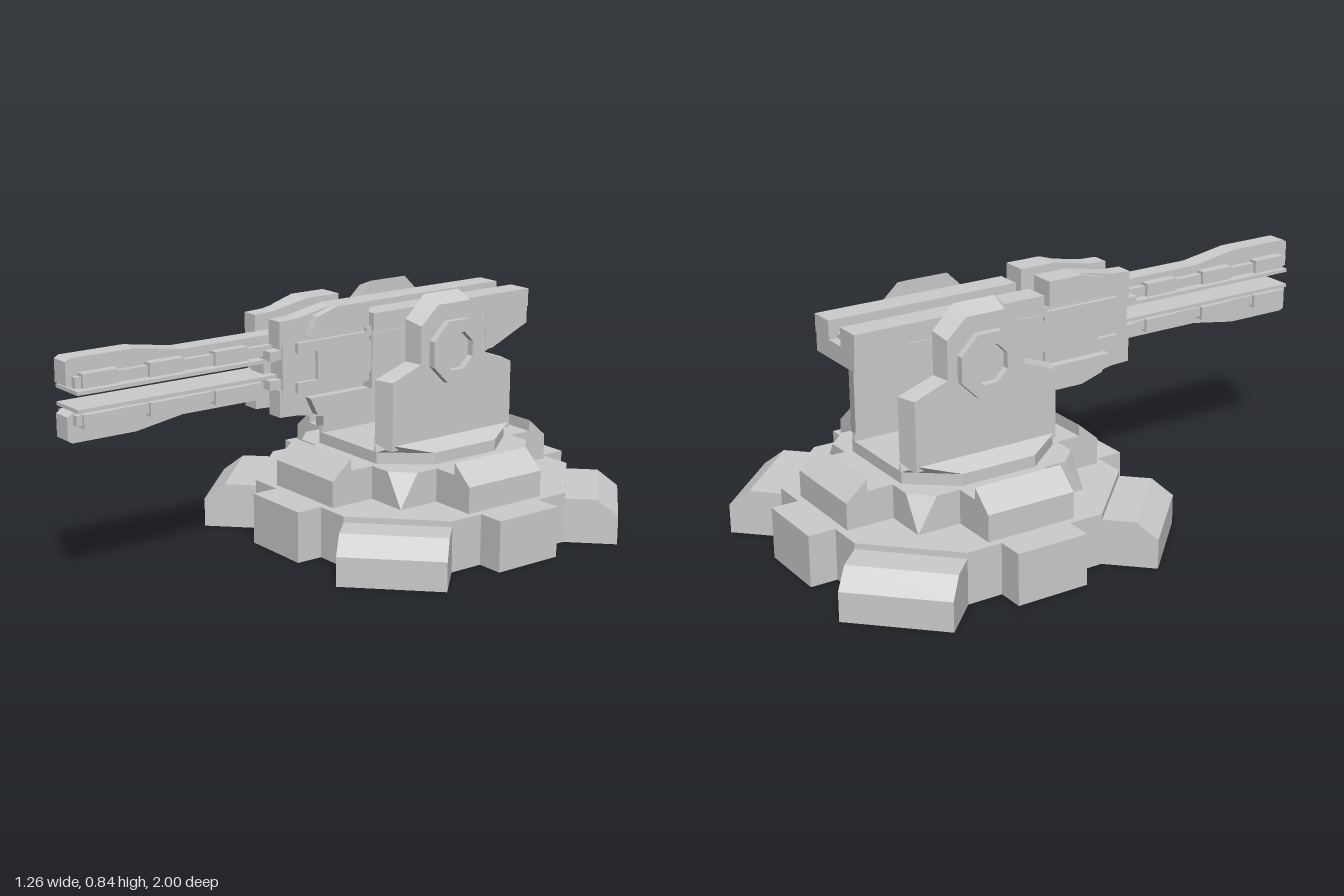
import * as THREE from 'three';
import { ConvexGeometry } from 'three/addons/geometries/ConvexGeometry.js';

const AXIS_Y = 0.652; // height of the gun's axis, its mirror plane
const GUN_X = -0.01;
const PIVOT_Z = -0.375;

const material = new THREE.MeshStandardMaterial({ color: 0xcccccc, flatShading: true, side: THREE.DoubleSide });

function add(parent, name, geometry) {
  const mesh = new THREE.Mesh(geometry, material);
  mesh.name = name;
  parent.add(mesh);
  return mesh;
}

function group(parent, name, x = 0, y = 0, z = 0) {
  const g = new THREE.Group();
  g.name = name;
  g.position.set(x, y, z);
  if (parent) parent.add(g);
  return g;
}

const toShape = (points) => new THREE.Shape(points.map(([a, b]) => new THREE.Vector2(a, b)));

// Extrudes a (z, y) profile along x from x0 to x1
function extrudeX(profile, x0, x1) {
  const shape = profile instanceof THREE.Shape ? profile : toShape(profile);
  const g = new THREE.ExtrudeGeometry(shape, { depth: x1 - x0, bevelEnabled: false });
  return g.rotateY(-Math.PI / 2).translate(x1, 0, 0);
}

// Flat-shaded surface from a list of quads
function quads(list) {
  const p = [];
  for (const [a, b, c, d] of list) p.push(...a, ...b, ...c, ...a, ...c, ...d);
  const g = new THREE.BufferGeometry();
  g.setAttribute('position', new THREE.Float32BufferAttribute(p, 3));
  g.computeVertexNormals();
  return g;
}

const octagon = (radius, cz, cy) => Array.from({ length: 8 }, (_, i) => {
  const a = (i + 0.5) * Math.PI / 4;
  return [cz + radius * Math.cos(a), cy + radius * Math.sin(a)];
});

function buildBase(root) {
  const base = group(root, 'base', 0, 0, PIVOT_Z);

  // Hollow octagonal skirt with four square tabs, open underneath
  const outline = [];
  let quarter = [[0.594, -0.127], [0.594, 0.127], [0.5, 0.127], [0.5, 0.25], [0.25, 0.5], [0.127, 0.5]];
  for (let i = 0; i < 4; i++) {
    outline.push(...quarter);
    quarter = quarter.map(([x, z]) => [-z, x]);
  }
  const walls = outline.map(([x, z], i) => {
    const [u, v] = outline[(i + 1) % outline.length];
    const low = i % 6 === 3 ? 0.155 : 0; // the feet open into the chamfered sides
    return [[x, low, z], [x, 0.175, z], [u, 0.175, v], [u, low, v]];
  });
  add(base, 'skirtWalls', quads(walls));
  const deck = new THREE.ShapeGeometry(toShape(outline.map(([x, z]) => [x, -z])));
  add(base, 'skirtDeck', deck.rotateX(-Math.PI / 2).translate(0, 0.175, 0));

  // Diagonal feet, hollow with a sloped toe
  const w = 0.177;
  const toe = [[0.53, 0.155], [0.64, 0.155], [0.712, 0.1], [0.712, 0]];
  const footFaces = [];
  for (let i = 0; i < 3; i++) {
    const [r, y] = toe[i], [s, v] = toe[i + 1];
    footFaces.push([[r, y, w], [s, v, w], [s, v, -w], [r, y, -w]]);
  }
  footFaces.push([[0.53, 0, w], [0.64, 0, w], [0.64, 0.155, w], [0.53, 0.155, w]],
    [[0.64, 0, w], [0.712, 0, w], [0.712, 0.1, w], [0.64, 0.155, w]]);
  for (const f of footFaces.slice(3)) footFaces.push(f.map(([x, y]) => [x, y, -w]).reverse());

  // Raised guards around the platform
  const guard = [[0.31, 0.175], [0.475, 0.175], [0.475, 0.265], [0.4, 0.33], [0.4, 0.29], [0.31, 0.29]];
  for (let i = 0; i < 4; i++) {
    add(base, 'foot', quads(footFaces)).rotation.y = Math.PI / 4 + i * Math.PI / 2;
    add(base, 'guard', extrudeX(guard, -0.158, 0.158)).rotation.y = i * Math.PI / 2;
  }

  // Square platform with cut upper corners
  const pts = [];
  for (const sx of [-1, 1]) for (const sz of [-1, 1]) {
    for (const [x, y, z] of [[0.31, 0.175, 0.31], [0.31, 0.29, 0.24], [0.24, 0.29, 0.31]]) {
      pts.push(new THREE.Vector3(sx * x, y, sz * z));
    }
  }
  add(base, 'platform', new ConvexGeometry(pts));
}

function buildCradle(root) {
  const cradle = group(root, 'cradle', GUN_X, 0, PIVOT_Z);
  const hull = (rows) => {
    const pts = [];
    for (const [x, y, z] of rows) for (const s of [-1, 1]) pts.push(new THREE.Vector3(x, y, s * z));
    return new ConvexGeometry(pts);
  };
  // Octagonal turntable
  const ring = [];
  for (const s of [-1, 1]) for (const y of [0.28, 0.33]) ring.push([s * 0.28, y, 0.135], [s * 0.16, y, 0.285]);
  add(cradle, 'turntable', hull(ring));

  const half = [[0.28, 0.34], [0.28, 0.575], [0.152, 0.62], [0.152, 0.765], [0.075, 0.84]];
  const plate = [...half, ...half.map(([z, y]) => [-z, y]).reverse()];
  const flange = toShape(octagon(0.1137, 0, AXIS_Y));
  flange.holes.push(new THREE.Path(octagon(0.068, 0, AXIS_Y).map(([a, b]) => new THREE.Vector2(a, b))));

  for (const s of [-1, 1]) {
    add(cradle, 'plateFooting', hull([[s * 0.28, 0.33, 0.135], [s * 0.16, 0.33, 0.285], [s * 0.1425, 0.33, 0.285],
      [s * 0.215, 0.357, 0.25], [s * 0.1425, 0.357, 0.28]]));
    const span = (a, b) => (s > 0 ? [a, b] : [-b, -a]);

    // Side plate, tapering towards its outer face
    const g = extrudeX(plate, ...span(0.1425, 0.2125));
    const p = g.attributes.position;
    for (let i = 0; i < p.count; i++) {
      if (Math.abs(p.getX(i)) < 0.2) continue;
      p.setZ(i, p.getZ(i) * 0.93);
      if (p.getY(i) > AXIS_Y) p.setY(i, AXIS_Y + (p.getY(i) - AXIS_Y) * 0.86);
    }
    g.computeVertexNormals();
    add(cradle, 'sidePlate', g);
    add(cradle, 'pivotRing', extrudeX(flange, ...span(0.13, 0.2375)));
  }
  add(cradle, 'pivotAxle', extrudeX(octagon(0.1, 0, AXIS_Y), -0.15, 0.15));
}

function buildGun(root) {
  const gun = group(root, 'gun', GUN_X);
  const rect = (z0, z1, y0, y1) => [[z0, y0], [z1, y0], [z1, y1], [z0, y1]];
  const block = (name, profile, x0, x1) => add(gun, name, extrudeX(profile, x0, x1));
  const both = (name, profile, x0, x1) => { // left and right
    block(name, profile, x0, x1);
    block(name, profile, -x1, -x0);
  };

  // Breech body between the plates
  block('breech', [[-0.1, 0.54], [-0.1, 0.73], [-0.62, 0.73], [-0.62, 0.605], [-0.5, 0.56], [-0.45, 0.52], [-0.16, 0.52]], -0.12, 0.12);
  // Undercut tail with a square port in its sloped face
  both('tailCheek', [[-0.6, 0.735], [-0.79, 0.735], [-0.79, 0.675], [-0.63, 0.605], [-0.6, 0.605]], 0.035, 0.122);
  block('tailCore', [[-0.6, 0.735], [-0.79, 0.735], [-0.79, 0.675], [-0.745, 0.655], [-0.733, 0.682],
    [-0.687, 0.662], [-0.675, 0.625], [-0.63, 0.605], [-0.6, 0.605]], -0.035, 0.035);
  block('topBed', rect(-0.76, -0.08, 0.72, 0.75), -0.115, 0.115);
  both('topRail', rect(-0.79, -0.1, 0.735, 0.797), 0.038, 0.127);

  // Receiver core, with its flanks running back to the plates
  block('receiver', rect(-0.12, 0.25, 0.565, 0.74), -0.1, 0.1);
  both('receiverFlank', rect(-0.12, 0.12, 0.6, 0.705), 0.09, 0.115);
  block('breechFace', rect(0.2, 0.28, 0.615, 0.69), -0.035, 0.035);

  // Twin barrels and receiver jaws, mirrored about the axis
  for (const m of [1, -1]) {
    const flip = (profile) => profile.map(([z, y]) => [z, AXIS_Y + m * (y - AXIS_Y)]);
    const jaw = [[-0.08, 0.72], [0.26, 0.72], [0.26, 0.81], [0.19, 0.813], [0.05, 0.84], [-0.08, 0.84]];
    both('jaw', flip(jaw), 0.038, 0.098);
    both('jawSide', flip([[-0.08, 0.755], [0.16, 0.755], [0.13, 0.815], [0.05, 0.84], [-0.08, 0.84]]), 0.098, 0.127);
    both('jawFlank', flip(rect(-0.09, 0.2, 0.7, 0.735)), 0.09, 0.115);
    block('jawBed', flip(rect(-0.08, 0.25, 0.7, 0.75)), -0.05, 0.05);

    const barrel = [[0.2, 0.69], [0.98, 0.69], [1, 0.7], [1, 0.775], [0.985, 0.784],
      [0.76, 0.784], [0.59, 0.757], [0.2, 0.757]];
    block('barrel', flip(barrel), -0.034, 0.034);
    block('barrelRib', flip(rect(0.2, 0.98, 0.695, 0.728)), -0.055, 0.055);
    block('innerRail', flip(rect(0.2, 0.98, 0.674, 0.686)), -0.066, 0.066);
    block('railWeb', flip(rect(0.2, 0.97, 0.68, 0.7)), -0.03, 0.03);
    for (const z of [0.36, 0.6, 0.835]) block('barrelLug', flip(rect(z, z + 0.125, 0.693, 0.738)), -0.066, 0.066);
    block('barrelCollar', flip(rect(0.2, 0.295, 0.685, 0.715)), -0.093, 0.093);
  }
}

export function createModel() {
  const root = group(null, 'turret');
  buildBase(root);
  buildCradle(root);
  buildGun(root);
  return root;
}
